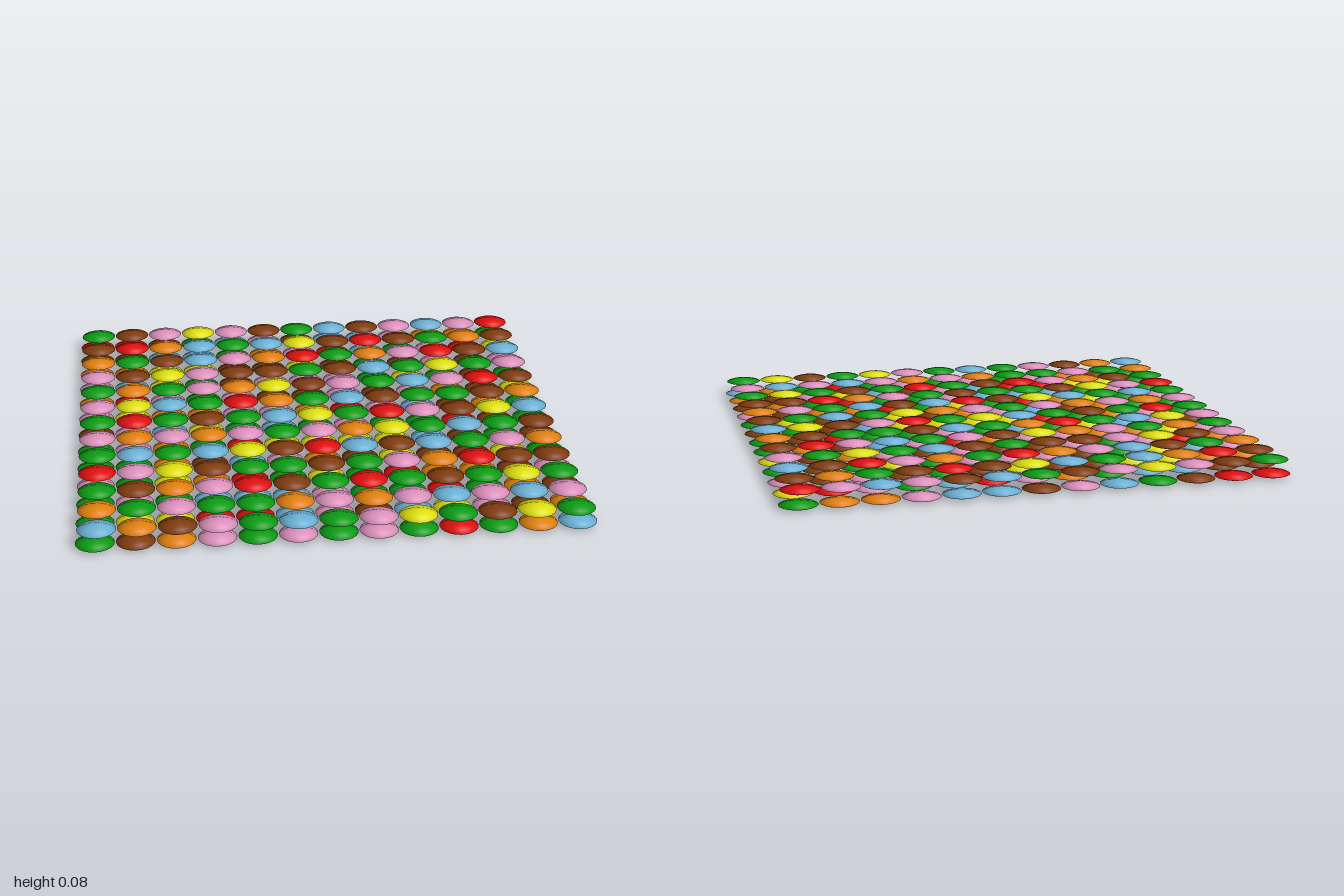
import * as THREE from 'three';

const COUNT = 13;
const RADIUS = 0.075;
const HALF_HEIGHT = 0.013;

const COLORS = {
  G: 0x0c9c14, B: 0x803c10, P: 0xdc90bc, Y: 0xdede10,
  L: 0x6cb0d4, R: 0xe01010, O: 0xe08010,
};

// Colour of every upper lens, back row first, from -x to +x
const UPPER_ROWS = [
  'GBPYPBGLBPLPR',
  'BROLGLYBRBGOB',
  'OGBLPORGOPRBL',
  'PBYPBBGBLGYGP',
  'GOGPOYBPGLPRB',
  'PYLGROGLBGGBO',
  'GRGBGLYGRPBYL',
  'POPOPGPOYGLGB',
  'GLGLYBRLBLGPO',
  'RPYBGGBGPORBB',
  'GBOPRBGRGBGYG',
  'OGPGGOPOPLPLP',
  'LOBPGLGPYGBYG',
];

// Lower layer: known front row and +x column, the rest from a seeded mix
const LOWER_FRONT = 'GBOPGPGPGRGOL';
const LOWER_SIDE = 'GYPGYGGBGPBOL';

function lowerRows() {
  let seed = 7;
  const random = () => {
    seed = (seed * 16807) % 2147483647;
    return seed / 2147483647;
  };
  const mix = 'GGGGGBBBBPPPPOOOLLLYYRR';
  const rows = [];
  for (let j = 0; j < COUNT; j++) {
    let row = '';
    for (let i = 0; i < COUNT; i++) {
      const pick = mix[Math.floor(random() * mix.length)];
      if (j === COUNT - 1) row += LOWER_FRONT[i];
      else if (i === COUNT - 1) row += LOWER_SIDE[j];
      else if (i === 0 && j === 0) row += 'R';
      else row += pick;
    }
    rows.push(row);
  }
  return rows;
}

// Sphere squashed to a thin lens with a sharp rim; the round normals are kept
function lensGeometry() {
  const geometry = new THREE.SphereGeometry(1, 20, 8);
  const position = geometry.attributes.position;
  for (let i = 0; i < position.count; i++) {
    const y = position.getY(i);
    position.setXYZ(
      i,
      position.getX(i) * RADIUS,
      Math.sign(y) * Math.pow(Math.abs(y), 1.6) * HALF_HEIGHT,
      position.getZ(i) * RADIUS,
    );
  }
  return geometry;
}

// One square layer of lenses
function createLayer(name, rows, geometry, materials, y, spacingX, spacingZ) {
  const layer = new THREE.Group();
  layer.name = name;
  layer.position.y = y;
  const middle = (COUNT - 1) / 2;
  rows.forEach((row, j) => {
    [...row].forEach((key, i) => {
      const lens = new THREE.Mesh(geometry, materials[key]);
      lens.name = 'lens';
      lens.position.set((i - middle) * spacingX, 0, (j - middle) * spacingZ);
      layer.add(lens);
    });
  });
  return layer;
}

export function createModel() {
  const model = new THREE.Group();
  model.name = 'lensSheets';
  const geometry = lensGeometry();
  const materials = {};
  for (const key in COLORS) {
    materials[key] = new THREE.MeshStandardMaterial({ color: COLORS[key] });
  }
  model.add(createLayer('lowerLayer', lowerRows(), geometry, materials, HALF_HEIGHT, 0.1541, 0.1541));
  model.add(createLayer('upperLayer', UPPER_ROWS, geometry, materials, 0.069, 0.1528, 0.1535));
  return model;
}
